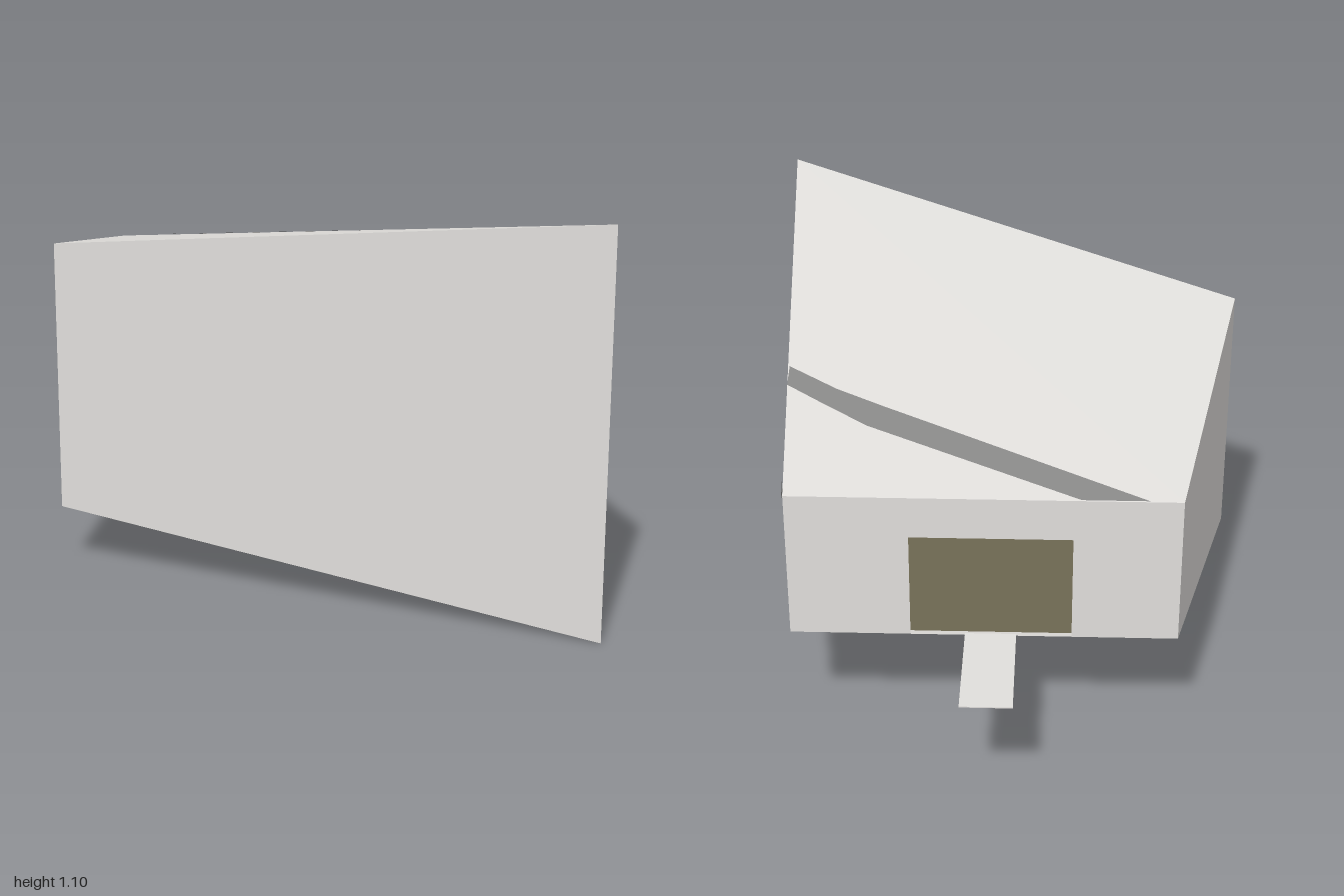
import * as THREE from 'three';

const material = (name, color) => {
  const m = new THREE.MeshStandardMaterial({ color, side: THREE.DoubleSide });
  m.name = name;
  return m;
};

// Heights of the sloping roof and underside at depth z
const BACK = -0.66, FRONT = 1;
const slope = (z) => (z - BACK) / (FRONT - BACK);
const roofY = (z) => 0.767 + 0.333 * slope(z);
const baseY = (z) => 0.34 - 0.34 * slope(z);
const leftX = (z) => 0.55 + 0.15 * slope(z);

// Flat convex panel from a ring of corners, anticlockwise seen from outside
function panel(name, corners, mat) {
  const pos = [];
  for (let i = 1; i < corners.length - 1; i++) pos.push(...corners[0], ...corners[i], ...corners[i + 1]);
  const geo = new THREE.BufferGeometry();
  geo.setAttribute('position', new THREE.Float32BufferAttribute(pos, 3));
  geo.computeVertexNormals();
  const mesh = new THREE.Mesh(geo, mat);
  mesh.name = name;
  return mesh;
}

export function createModel() {
  const group = new THREE.Group();
  group.name = 'angularPavilion';
  const concrete = material('paleConcrete', 0xe1dfdc);
  const dark = material('midGrey', 0x888887);
  const wood = material('oliveFloor', 0x6c6650);
  const black = material('fixingBlack', 0x2a2a2a);

  // Corners in plan: [x, z, bottom, top]
  const plan = [
    [0.7, FRONT, 0, 1.1],
    [0.55, BACK, 0.34, 0.767],
    [-0.51, BACK, 0.34, 0.767],
    [-0.7, 0.288, 0.17, 0.934],
  ];
  const low = plan.map(([x, z, b]) => [x, b, z]);
  const high = plan.map(([x, z, , t]) => [x, t, z]);

  // Side and front walls
  const wall = (name, i, j) => group.add(panel(name, [low[i], low[j], high[j], high[i]], concrete));
  wall('leftWall', 0, 1);
  wall('rightWall', 2, 3);
  wall('frontWall', 3, 0);

  // Roof and underside
  group.add(panel('roof', high, concrete));
  group.add(panel('underside', [low[0], low[3], low[2], low[1]], concrete));

  // Back wall: two sides and a lintel around the doorway
  const backPiece = (name, x0, x1, y0) => group.add(panel(name, [
    [x1, y0, BACK], [x0, y0, BACK], [x0, 0.767, BACK], [x1, 0.767, BACK],
  ], concrete));
  backPiece('backWallLeft', 0.22, 0.55, 0.34);
  backPiece('backWallRight', -0.51, -0.22, 0.34);
  backPiece('doorLintel', -0.22, 0.22, 0.647);

  // Interior floor and ceiling
  const inner = [[0.68, 0.96], [0.54, -0.65], [-0.5, -0.65], [-0.685, 0.275]];
  group.add(panel('interiorFloor', inner.map(([x, z]) => [x, 0.345, z]), wood));
  group.add(panel('interiorCeiling', inner.map(([x, z]) => [x, roofY(z) - 0.04, z]), dark));

  // Grey strip crossing the roof, in three straight runs
  const strip = [
    [[-0.42, -0.66], [-0.24, -0.66]],
    [[0.31, -0.285], [0.35, -0.37]],
    [[0.45, -0.21], [0.47, -0.285]],
    [[0.595, -0.11], [0.592, -0.195]],
  ];
  const onRoof = ([x, z]) => [x, roofY(z) + 0.003, z];
  for (let i = 0; i < strip.length - 1; i++) {
    const [a, b] = strip[i], [c, d] = strip[i + 1];
    group.add(panel('roofStrip', [a, c, d, b].map(onRoof), dark));
  }

  // Grey corner patch on the left wall
  group.add(panel('cornerPatch', [
    [-0.585, 0.78], [-0.6, 0.748], [-0.655, 0.756], [-0.658, 0.766],
  ].map(([z, y]) => [leftX(z) + 0.003, y, z]), dark));

  // Entry gangway
  const gangway = new THREE.Mesh(new THREE.BoxGeometry(0.14, 0.003, 0.34), concrete);
  gangway.name = 'gangway';
  gangway.position.set(0.001, 0.344, -0.83);
  group.add(gangway);

  // Small fixings under the base
  for (const [x, z, lift] of [[0.593, 0.67, 0], [0.456, 0.71, 0.008], [-0.52, 0.2, 0.008], [-0.6, 0.16, 0.008], [-0.64, 0.22, 0.008]]) {
    const pin = new THREE.Mesh(new THREE.BoxGeometry(0.011, 0.018, 0.011), black);
    pin.name = 'basePin';
    pin.position.set(x, baseY(z) + lift, z);
    group.add(pin);
  }
  return group;
}
